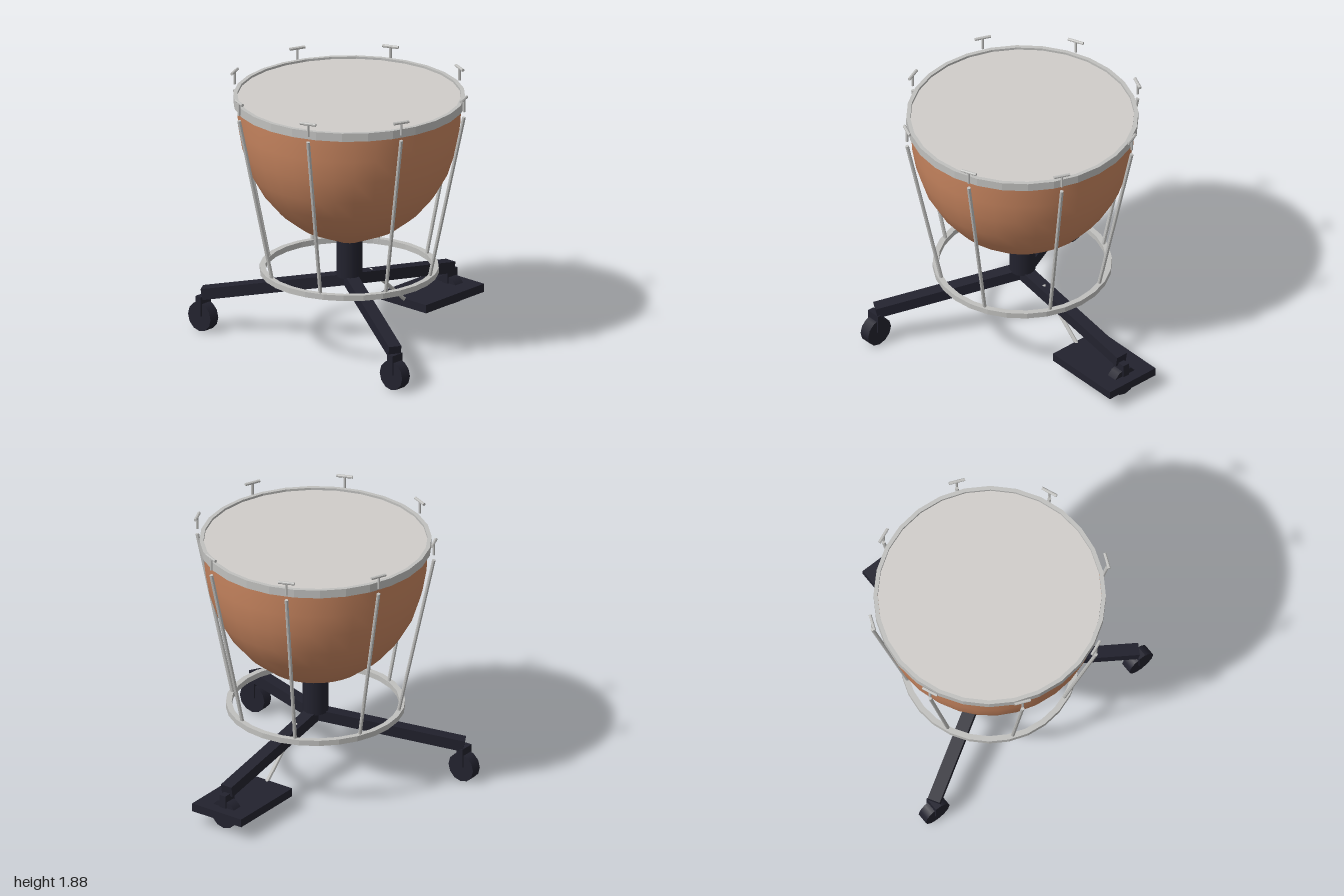
import * as THREE from 'three';

const mat = (name, color, extra = {}) => {
  const m = new THREE.MeshStandardMaterial({ color, ...extra });
  m.name = name;
  return m;
};

export function createModel() {
  const copper = mat('copper', 0xc98660, { side: THREE.DoubleSide });
  const metal = mat('brushed metal', 0xc0c0be, { flatShading: true });
  const skin = mat('drum skin', 0xd0cdca);
  const dark = mat('dark frame', 0x22222e, { flatShading: true });
  const rubber = mat('dark wheel', 0x22222e);

  const model = new THREE.Group();
  model.name = 'kettledrum';
  const drum = new THREE.Group();
  drum.name = 'drum';
  drum.position.z = 0.17;
  model.add(drum);

  const add = (parent, name, geo, material, x = 0, y = 0, z = 0) => {
    const mesh = new THREE.Mesh(geo, material);
    mesh.name = name;
    mesh.position.set(x, y, z);
    parent.add(mesh);
    return mesh;
  };
  // Thin cylinder between two points
  const rod = (parent, name, a, b, r, material) => {
    const dir = b.clone().sub(a);
    const mesh = add(parent, name, new THREE.CylinderGeometry(r, r, dir.length(), 8), material);
    mesh.position.copy(a).add(b).multiplyScalar(0.5);
    mesh.quaternion.setFromUnitVectors(new THREE.Vector3(0, 1, 0), dir.normalize());
    return mesh;
  };
  // Flat ring with a rectangular section
  const ring = (name, inner, outer, y0, y1, segs) => {
    const pts = [[inner, y0], [outer, y0], [outer, y1], [inner, y1], [inner, y0]]
      .map(p => new THREE.Vector2(...p));
    add(drum, name, new THREE.LatheGeometry(pts, segs), metal);
  };

  // Bowl
  const profile = [[0, 0.735], [0.09, 0.745], [0.35, 0.86], [0.49, 0.97], [0.6, 1.1],
    [0.685, 1.25], [0.74, 1.42], [0.768, 1.58], [0.778, 1.76]].map(p => new THREE.Vector2(...p));
  add(drum, 'bowl', new THREE.LatheGeometry(profile, 32), copper);

  // Head, hoop and lower ring
  add(drum, 'head', new THREE.CylinderGeometry(0.773, 0.773, 0.03, 28), skin, 0, 1.775, 0);
  ring('hoop', 0.775, 0.803, 1.745, 1.805, 28);
  ring('lowerRing', 0.58, 0.62, 0.51, 0.55, 28);

  // Tension rods and T-shaped tuning handles
  for (let i = 0; i < 8; i++) {
    const a = (i + 0.5) * Math.PI / 4;
    const at = (r, y) => new THREE.Vector3(Math.cos(a) * r, y, Math.sin(a) * r);
    rod(drum, 'tensionRod', at(0.588, 0.53), at(0.842, 1.74), 0.013, metal);
    rod(drum, 'handleStem', at(0.842, 1.78), at(0.842, 1.87), 0.009, metal);
    const side = new THREE.Vector3(-Math.sin(a), 0, Math.cos(a)).multiplyScalar(0.058);
    const top = at(0.842, 1.872);
    rod(drum, 'handleBar', top.clone().sub(side), top.clone().add(side), 0.011, metal);
  }

  // Column
  add(drum, 'column', new THREE.CylinderGeometry(0.09, 0.09, 0.27, 16), rubber, 0, 0.615, 0);

  // Legs with casters; all wheels roll along x
  for (const a of [Math.PI / 6, Math.PI * 5 / 6, -Math.PI / 2]) {
    const dx = Math.cos(a), dz = Math.sin(a);
    const start = new THREE.Vector3(0, 0.463, 0);
    const end = new THREE.Vector3(dx * 1.035, 0.272, dz * 1.035);
    const leg = add(drum, 'leg', new THREE.BoxGeometry(0.09, 0.08, start.distanceTo(end)), dark);
    leg.position.copy(start).add(end).multiplyScalar(0.5);
    leg.lookAt(end.clone().multiplyScalar(2).sub(start));
    // Aim along the leg in the drum's own frame
    leg.rotation.set(Math.atan2(0.191, 1.035), Math.atan2(dx, dz), 0, 'YXZ');

    const x = dx * 1.033, z = dz * 1.033;
    add(drum, 'casterFork', new THREE.BoxGeometry(0.05, 0.14, 0.105), dark, x, 0.185, z);
    const wheel = add(drum, 'casterWheel',
      new THREE.CylinderGeometry(0.105, 0.105, 0.08, 12), rubber, x, 0.105, z);
    wheel.rotation.x = Math.PI / 2;
  }

  // Pedal and its link
  add(model, 'pedal', new THREE.BoxGeometry(0.42, 0.06, 0.595), dark, 0, 0.13, -0.685);
  rod(model, 'pedalLink', new THREE.Vector3(0, 0.14, -0.41), new THREE.Vector3(0, 0.46, -0.05), 0.014, metal);

  return model;
}
